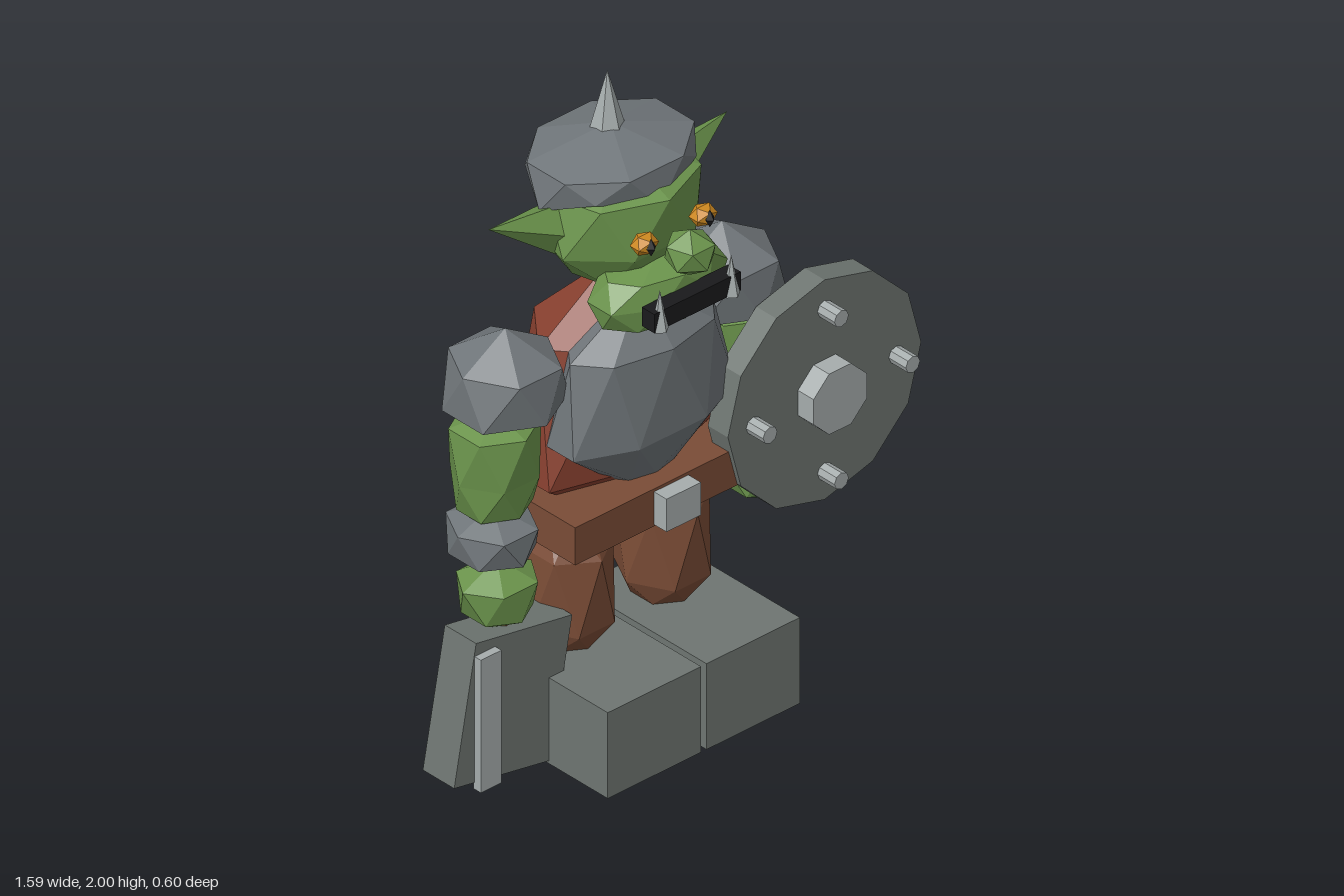
import * as THREE from 'three';

const mat = (name, color, side = THREE.FrontSide) =>
  Object.assign(new THREE.MeshStandardMaterial({ color, flatShading: true, side }), { name });

// Low-poly solid from rings [y, rx, rz]; each ring is turned half a step, ends close in a point
function blob(n, bottomY, rings, topY, zigzag = 0) {
  const pos = [];
  const at = (k, i) => {
    const [y, rx, rz] = rings[k], a = ((i + k / 2) / n) * Math.PI * 2;
    const lift = k === 0 && ((i % n) % 2) ? zigzag : 0;
    return [rx * Math.sin(a), y + lift, rz * Math.cos(a)];
  };
  const last = rings.length - 1;
  for (let i = 0; i < n; i++) {
    pos.push(...at(0, i + 1), ...at(0, i), 0, bottomY, 0);
    for (let k = 0; k < last; k++) {
      pos.push(...at(k, i), ...at(k, i + 1), ...at(k + 1, i));
      pos.push(...at(k, i + 1), ...at(k + 1, i + 1), ...at(k + 1, i));
    }
    pos.push(...at(last, i), ...at(last, i + 1), 0, topY, 0);
  }
  const g = new THREE.BufferGeometry();
  g.setAttribute('position', new THREE.Float32BufferAttribute(pos, 3));
  g.computeVertexNormals();
  return g;
}

export function createModel() {
  const skin = mat('green skin', 0x6b944c);
  const steel = mat('dark steel', 0x70767a);
  const iron = mat('iron', 0x6e7571);
  const bright = mat('bright metal', 0xa6adad);
  const leather = mat('brown leather', 0x7a4c36);
  const cloth = mat('red cloth', 0x88402f);
  const amber = mat('amber', 0xd08a20);
  const black = mat('black', 0x1a1a1c);

  const model = new THREE.Group();
  const body = new THREE.Group();
  body.name = 'body';
  body.position.x = -0.105;
  model.add(body);
  const add = (parent, name, geo, material, x = 0, y = 0, z = 0) => {
    const m = new THREE.Mesh(geo, material);
    m.name = name;
    m.position.set(x, y, z);
    parent.add(m);
    return m;
  };
  const box = (w, h, d) => new THREE.BoxGeometry(w, h, d);

  // Torso, breastplate and belt
  add(body, 'torso', blob(6, 0.61, [[0.83, 0.36, 0.18], [1.23, 0.27, 0.19]], 1.41), cloth, 0, 0, -0.08);
  add(body, 'breastplate',
    blob(8, 0.79, [[0.8, 0.11, 0.06], [0.96, 0.32, 0.14], [1.23, 0.26, 0.13]], 1.38), steel, 0, 0, 0.035);
  add(body, 'belt', box(0.7, 0.12, 0.45), leather, 0, 0.745, -0.07);
  add(body, 'buckle', box(0.125, 0.105, 0.07), bright, 0, 0.743, 0.17);

  // Limbs, mirrored
  const arm = blob(6, 0.8, [[0.82, 0.11, 0.1], [0.93, 0.13, 0.125], [1.08, 0.13, 0.125]], 1.12);
  const leg = blob(6, 0.26, [[0.275, 0.085, 0.09], [0.35, 0.13, 0.145], [0.58, 0.125, 0.145], [0.68, 0.06, 0.07]], 0.7);
  const pauldron = blob(6, 1.08, [[1.12, 0.18, 0.165], [1.26, 0.155, 0.165]], 1.355);
  const bracer = blob(6, 0.66, [[0.7, 0.12, 0.125], [0.79, 0.125, 0.135]], 0.84);
  const hand = blob(6, 0.46, [[0.52, 0.1, 0.1], [0.62, 0.125, 0.11]], 0.68);
  for (const [side, s] of [['left', 1], ['right', -1]]) {
    add(body, side + 'Leg', leg, leather, s * 0.175, 0, -0.075);
    add(body, side + 'Boot', box(0.34, 0.275, 0.52), iron, s * 0.18, 0.1375, 0.025);
    add(body, side + 'Shoulder', pauldron, steel, s * 0.395, 0, -0.075);
    add(body, side + 'UpperArm', arm, skin, s * 0.445, 0, -0.062);
    add(body, side + 'Bracer', bracer, steel, s * 0.475, 0, -0.04);
    add(body, side + 'Hand', hand, skin, s * 0.475, 0, -0.02);
  }

  // Head
  const head = new THREE.Group();
  head.name = 'head';
  body.add(head);
  add(head, 'skull',
    blob(7, 1.36, [[1.42, 0.15, 0.14], [1.54, 0.255, 0.2], [1.7, 0.235, 0.2]], 1.78), skin, 0, 0, -0.05);
  add(head, 'jaw',
    blob(8, 1.31, [[1.35, 0.2, 0.11], [1.42, 0.23, 0.125], [1.49, 0.18, 0.11]], 1.51), skin, 0, 0, 0.1);
  add(head, 'nose', blob(5, 1.5, [[1.545, 0.07, 0.07], [1.605, 0.07, 0.07]], 1.645), skin, 0, 0, 0.23);
  add(head, 'mouth', box(0.315, 0.06, 0.05), black, 0, 1.425, 0.235);
  for (const [side, s] of [['left', 1], ['right', -1]]) {
    const ear = new THREE.ConeGeometry(1, 1, 5).rotateZ(-s * Math.PI / 2).scale(0.24, 0.095, 0.07);
    const p = ear.attributes.position; // sweep the tip up and back
    for (let i = 0; i < p.count; i++) {
      const out = s * p.getX(i) + 0.12;
      p.setY(i, p.getY(i) + out * 0.34);
      p.setZ(i, p.getZ(i) - out * 0.12);
    }
    ear.computeVertexNormals();
    add(head, side + 'Ear', ear, skin, s * 0.315, 1.595, -0.07);
    add(head, side + 'Eye', new THREE.IcosahedronGeometry(1, 0).scale(0.043, 0.034, 0.035), amber, s * 0.107, 1.615, 0.165);
    add(head, side + 'Pupil', new THREE.OctahedronGeometry(1, 0).scale(0.016, 0.028, 0.016), black, s * 0.107, 1.615, 0.192);
    add(head, side + 'Tusk', new THREE.ConeGeometry(0.026, 0.125, 5), bright, s * 0.13, 1.455, 0.252);
  }

  // Helmet with a jagged rim and a spike
  add(head, 'helmet',
    blob(8, 1.7, [[1.665, 0.26, 0.2], [1.775, 0.255, 0.2]], 1.84, 0.05), steel, 0, 0, -0.087);
  add(head, 'helmetSpike', new THREE.ConeGeometry(0.052, 0.19, 6), bright, 0, 1.905, -0.1);

  // Shield facing forward
  const shield = new THREE.Group();
  shield.name = 'shield';
  shield.position.set(0.44, 0.865, 0);
  model.add(shield);
  const disc = (r, d, n) => new THREE.CylinderGeometry(r, r, d, n).rotateX(Math.PI / 2);
  add(shield, 'shieldPlate', disc(0.352, 0.08, 12), iron, 0, 0, 0.13);
  add(shield, 'shieldBoss', disc(0.105, 0.065, 8).rotateZ(Math.PI / 8), bright, 0, 0, 0.2);
  for (let i = 0; i < 4; i++) {
    const a = i * Math.PI / 2;
    add(shield, 'shieldRivet', disc(0.026, 0.07, 8), bright, 0.26 * Math.cos(a), 0.26 * Math.sin(a), 0.203);
  }

  // Cleaver held downward
  const cleaver = new THREE.Group();
  cleaver.name = 'cleaver';
  model.add(cleaver);
  const outline = new THREE.Shape([[-0.72, 0.5], [-0.8, 0.07], [-0.45, 0.008], [-0.37, 0.44]]
    .map(([x, y]) => new THREE.Vector2(x, y)));
  add(cleaver, 'cleaverBlade',
    new THREE.ExtrudeGeometry(outline, { depth: 0.125, bevelEnabled: false }), iron, 0, 0, -0.075);
  add(cleaver, 'cleaverStrip', box(0.075, 0.425, 0.03), bright, -0.688, 0.248, 0.06);
  add(cleaver, 'cleaverHandle', new THREE.CylinderGeometry(0.028, 0.028, 0.16, 6), leather, -0.575, 0.52, -0.015);

  return model;
}
